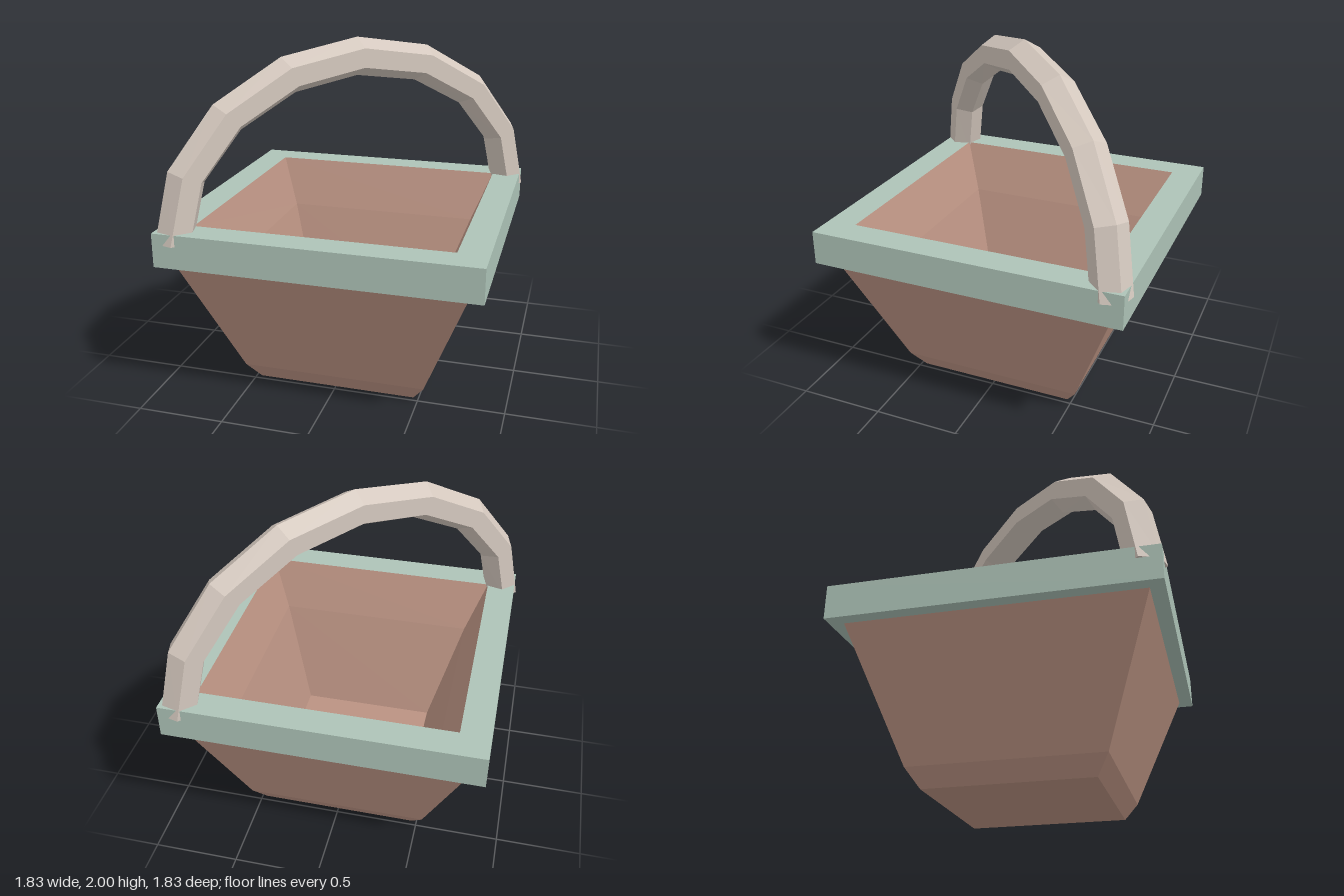
import * as THREE from 'three';

const paint = (name, color) => {
  const m = new THREE.MeshStandardMaterial({ color, flatShading: true });
  m.name = name;
  return m;
};

// Square turned form: profile of [half width, height], outside walls run upwards
function squareLathe(profile) {
  const points = profile.map(([half, y]) => new THREE.Vector2(half * Math.SQRT2, y));
  const geo = new THREE.LatheGeometry(points, 4, Math.PI / 4).toNonIndexed();
  geo.computeVertexNormals();
  return geo;
}

export function createModel() {
  const brown = paint('clay brown', 0xba9282);
  const green = paint('sage green', 0xadc3b7);
  const beige = paint('pale wood', 0xd4c8be);

  const model = new THREE.Group();
  model.name = 'basket';
  const add = (parent, name, geo, material) => {
    const mesh = new THREE.Mesh(geo, material);
    mesh.name = name;
    parent.add(mesh);
    return mesh;
  };

  // Tapered square body, outside and hollow inside
  add(model, 'bodyOutside', squareLathe([[0, 0], [0.47, 0], [0.54, 0.105], [0.82, 0.84]]), brown);
  add(model, 'bodyInside', squareLathe([[0.73, 1.035], [0.61, 0.74], [0.42, 0.12], [0, 0.12]]), brown);

  // Square rim band
  add(model, 'rim', squareLathe([[0.81, 0.84], [0.9, 0.84], [0.9, 1.035], [0.73, 1.035]]), green);

  // Hexagonal arched handle running corner to corner
  const radius = 1.144, rise = 0.92, thickness = 0.11;
  const handle = new THREE.Group();
  handle.name = 'handle';
  handle.position.y = 0.97;
  handle.rotation.y = Math.PI / 4;
  model.add(handle);

  const arch = new THREE.TorusGeometry(radius, thickness, 6, 8, Math.PI);
  const pos = arch.attributes.position;
  for (let i = 0; i < pos.count; i++) {
    // flatten the arch without thinning the bar
    const angle = Math.atan2(pos.getY(i), pos.getX(i));
    pos.setY(i, pos.getY(i) - (radius - rise) * Math.sin(angle));
  }
  const bar = arch.toNonIndexed();
  bar.computeVertexNormals();
  add(handle, 'handleArch', bar, beige);

  // Closed ends of the handle
  for (const side of [-1, 1]) {
    const cap = new THREE.CircleGeometry(thickness, 6).rotateX(Math.PI / 2);
    add(handle, 'handleEnd', cap, beige).position.x = side * radius;
  }
  return model;
}
